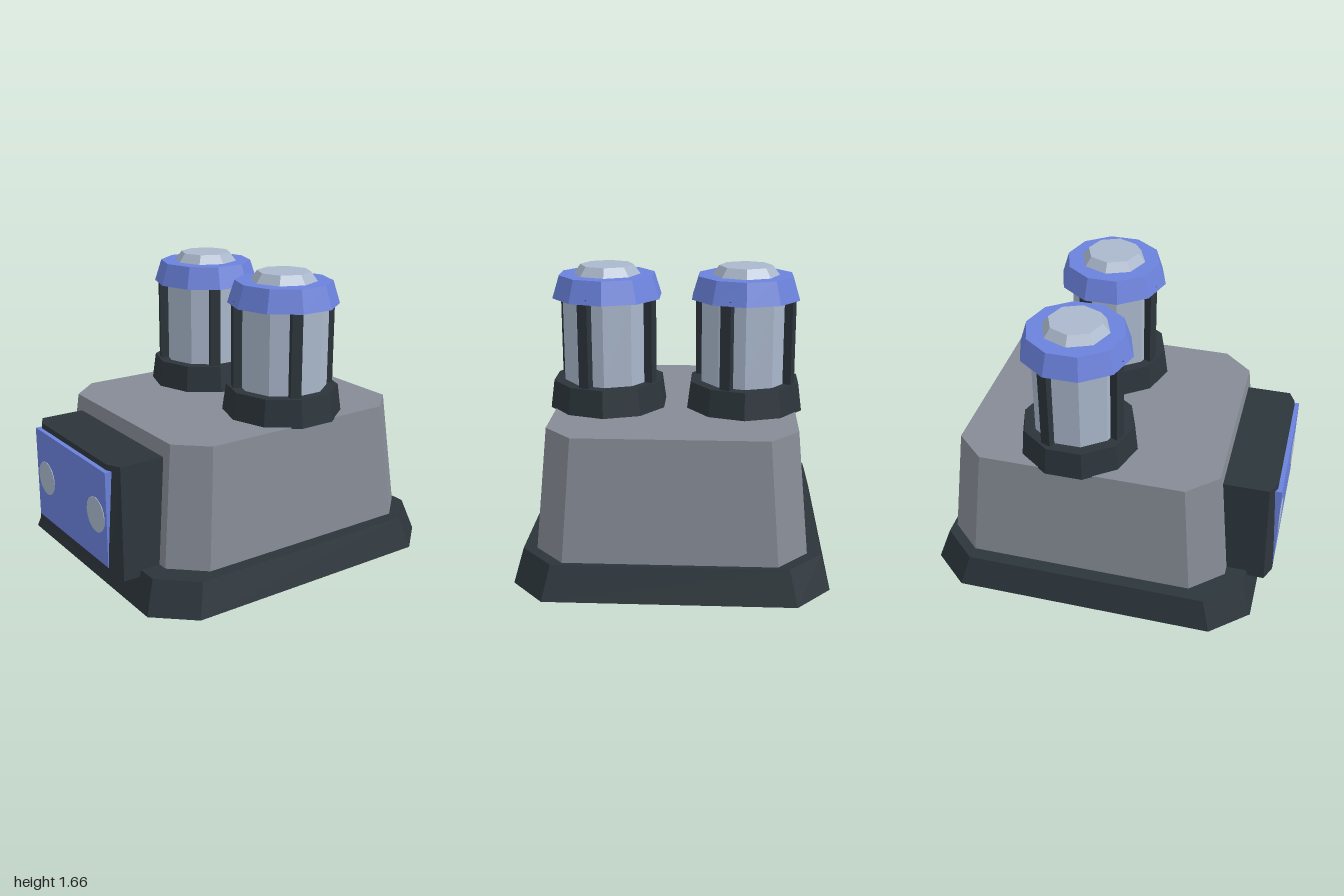
import * as THREE from 'three';

const mat = (name, color) => {
  const m = new THREE.MeshStandardMaterial({ color });
  m.name = name;
  return m;
};

// Eight-sided outline of a rectangle with cut corners, anticlockwise from above
function cutRect(y, [x0, cx0, cx1, x1], cz, z) {
  return [[x1, cz], [x1, -cz], [cx1, -z], [cx0, -z], [x0, -cz], [x0, cz], [cx0, z], [cx1, z]]
    .map(([px, pz]) => [px, y, pz]);
}

// Flat-shaded solid between a lower and an upper outline
function taperedBlock(low, high) {
  const pos = [];
  const n = low.length;
  for (let i = 0; i < n; i++) {
    const j = (i + 1) % n;
    pos.push(...low[i], ...low[j], ...high[j], ...low[i], ...high[j], ...high[i]);
    if (i > 0 && i < n - 1) {
      pos.push(...high[0], ...high[i], ...high[j]);
      pos.push(...low[0], ...low[j], ...low[i]);
    }
  }
  const g = new THREE.BufferGeometry();
  g.setAttribute('position', new THREE.Float32BufferAttribute(pos, 3));
  g.computeVertexNormals();
  return g;
}

// Flat-shaded faceted drum from y0 to y1, with a corner on the x axis
function drum(rLow, rHigh, y0, y1, sides) {
  const g = new THREE.CylinderGeometry(rHigh, rLow, y1 - y0, sides, 1, false, Math.PI / 2).toNonIndexed();
  g.computeVertexNormals();
  return g.translate(0, (y0 + y1) / 2, 0);
}

export function createModel() {
  const dark = mat('dark slate', 0x2c353b);
  const grey = mat('body grey', 0x868b95);
  const metal = mat('light steel', 0xaab7cb);
  const blue = mat('blue', 0x6b82dc);

  const model = new THREE.Group();
  model.name = 'generator';
  const add = (parent, name, geometry, material) => {
    const m = new THREE.Mesh(geometry, material);
    m.name = name;
    parent.add(m);
    return m;
  };

  // Plinth and sloping housing
  add(model, 'plinth', taperedBlock(
    cutRect(0, [-0.913, -0.703, 0.79, 1.0], 0.675, 0.86),
    cutRect(0.185, [-0.852, -0.654, 0.738, 0.936], 0.632, 0.81)), dark);
  add(model, 'housing', taperedBlock(
    cutRect(0.185, [-0.738, -0.557, 0.732, 0.91], 0.573, 0.735),
    cutRect(0.858, [-0.665, -0.498, 0.668, 0.835], 0.523, 0.675)), grey);

  // Side box with its blue plate and two round fittings
  add(model, 'sideBox', taperedBlock(
    cutRect(0.15, [-0.995, -0.957, -0.6, -0.56], 0.43, 0.517),
    cutRect(0.772, [-0.97, -0.932, -0.6, -0.56], 0.39, 0.467)), dark);
  add(model, 'sidePlate', new THREE.BoxGeometry(0.06, 0.54, 0.84).translate(-0.967, 0.47, 0), blue);
  for (const z of [-0.3, 0.3]) {
    const disc = add(model, 'plateDisc', new THREE.CylinderGeometry(0.1, 0.1, 0.006, 16), metal);
    disc.rotation.z = Math.PI / 2;
    disc.position.set(-0.997, 0.465, z);
  }

  // Two matching towers on the roof
  for (const z of [0.388, -0.388]) {
    const tower = new THREE.Group();
    tower.name = z > 0 ? 'frontTower' : 'backTower';
    tower.position.set(0.168, 0, z);
    model.add(tower);
    add(tower, 'collar', drum(0.34, 0.318, 0.852, 1.01, 10), dark);
    add(tower, 'shaft', drum(0.255, 0.255, 1.0, 1.49, 10), metal);
    add(tower, 'cap', drum(0.313, 0.273, 1.48, 1.607, 10), blue);
    add(tower, 'capLid', drum(0.193, 0.15, 1.6, 1.658, 8), metal);
    // Four upright ribs around the shaft
    for (let i = 0; i < 4; i++) {
      const a = Math.PI / 8 + i * Math.PI / 2;
      const rib = add(tower, 'rib', new THREE.BoxGeometry(0.06, 0.5, 0.06), dark);
      rib.position.set(0.26 * Math.cos(a), 1.255, 0.26 * Math.sin(a));
      rib.rotation.y = -a;
    }
  }
  return model;
}
